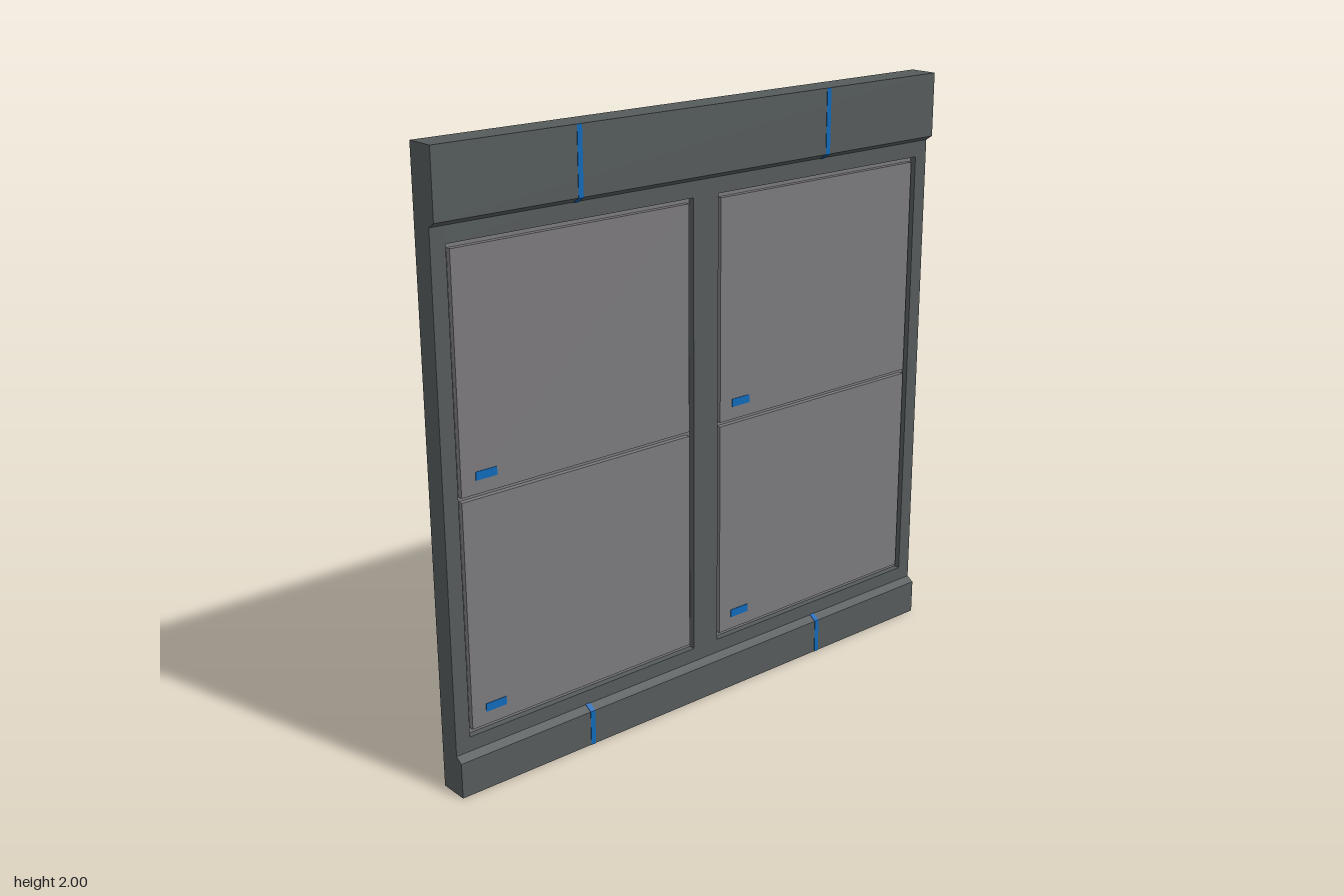
import * as THREE from 'three';

export function createModel() {
  const model = new THREE.Group();
  model.name = 'wallPanel';
  const mat = (name, color) => {
    const m = new THREE.MeshStandardMaterial({ color });
    m.name = name;
    return m;
  };
  const frameGrey = mat('frameGrey', 0x555a5b);
  const panelGrey = mat('panelGrey', 0x7a787b);
  const blue = mat('blue', 0x1068b8);

  const add = (name, geometry, material) => {
    const mesh = new THREE.Mesh(geometry, material);
    mesh.name = name;
    model.add(mesh);
    return mesh;
  };
  // box given by its lower and upper limits
  const box = (name, material, x0, x1, y0, y1, z0, z1) =>
    add(name, new THREE.BoxGeometry(x1 - x0, y1 - y0, z1 - z0), material)
      .position.set((x0 + x1) / 2, (y0 + y1) / 2, (z0 + z1) / 2);
  // (z, y) profile swept along x
  const sweep = (name, material, points, width, x = 0) => {
    const shape = new THREE.Shape(points.map(([z, y]) => new THREE.Vector2(z, y)));
    const g = new THREE.ExtrudeGeometry(shape, { depth: width, bevelEnabled: false });
    g.translate(0, 0, -width / 2).rotateY(-Math.PI / 2);
    add(name, g, material).position.x = x;
  };

  // backing slab
  box('backSlab', frameGrey, -1, 1, 0, 2, -0.05, 0);

  // front frame with two openings
  const outline = new THREE.Shape([[-1, 0], [1, 0], [1, 2], [-1, 2]].map(p => new THREE.Vector2(...p)));
  const openings = [-0.5, 0.5];
  const hw = 0.449, bottom = 0.182, top = 1.717;
  for (const c of openings) {
    outline.holes.push(new THREE.Path([
      [c - hw, bottom], [c - hw, top], [c + hw, top], [c + hw, bottom],
    ].map(p => new THREE.Vector2(...p))));
  }
  add('frontFrame', new THREE.ExtrudeGeometry(outline, { depth: 0.025, bevelEnabled: false }), frameGrey);

  // projecting rails with a bevelled inner edge
  const F = 0.025, R = 0.05;
  sweep('topRail', frameGrey, [[F, 1.77], [R, 1.786], [R, 2], [F, 2]], 2);
  sweep('bottomRail', frameGrey, [[F, 0], [R, 0], [R, 0.118], [F, 0.134]], 2);

  for (const c of openings) {
    // recess floor and the two raised panels with grooves around them
    box('recessFloor', panelGrey, c - hw, c + hw, bottom, top, 0, 0.003);
    for (const [y0, y1] of [[0.2, 0.942], [0.957, 1.7]]) {
      box('panel', panelGrey, c - hw + 0.015, c + hw - 0.015, y0, y1, 0.003, 0.02);
      // small blue tag near the lower left corner
      box('tag', blue, c - 0.383, c - 0.308, y0 + 0.043, y0 + 0.07, 0.02, 0.022);
    }
    // blue stripes following the rail faces
    const t = 0.0015;
    sweep('topStripe', blue,
      [[F, 1.77], [F, 1.768], [R + t, 1.785], [R + t, 2], [R, 2], [R, 1.786]], 0.018, c);
    sweep('bottomStripe', blue,
      [[R, 0], [R + t, 0], [R + t, 0.119], [F, 0.136], [F, 0.134], [R, 0.118]], 0.018, c);
  }
  return model;
}
